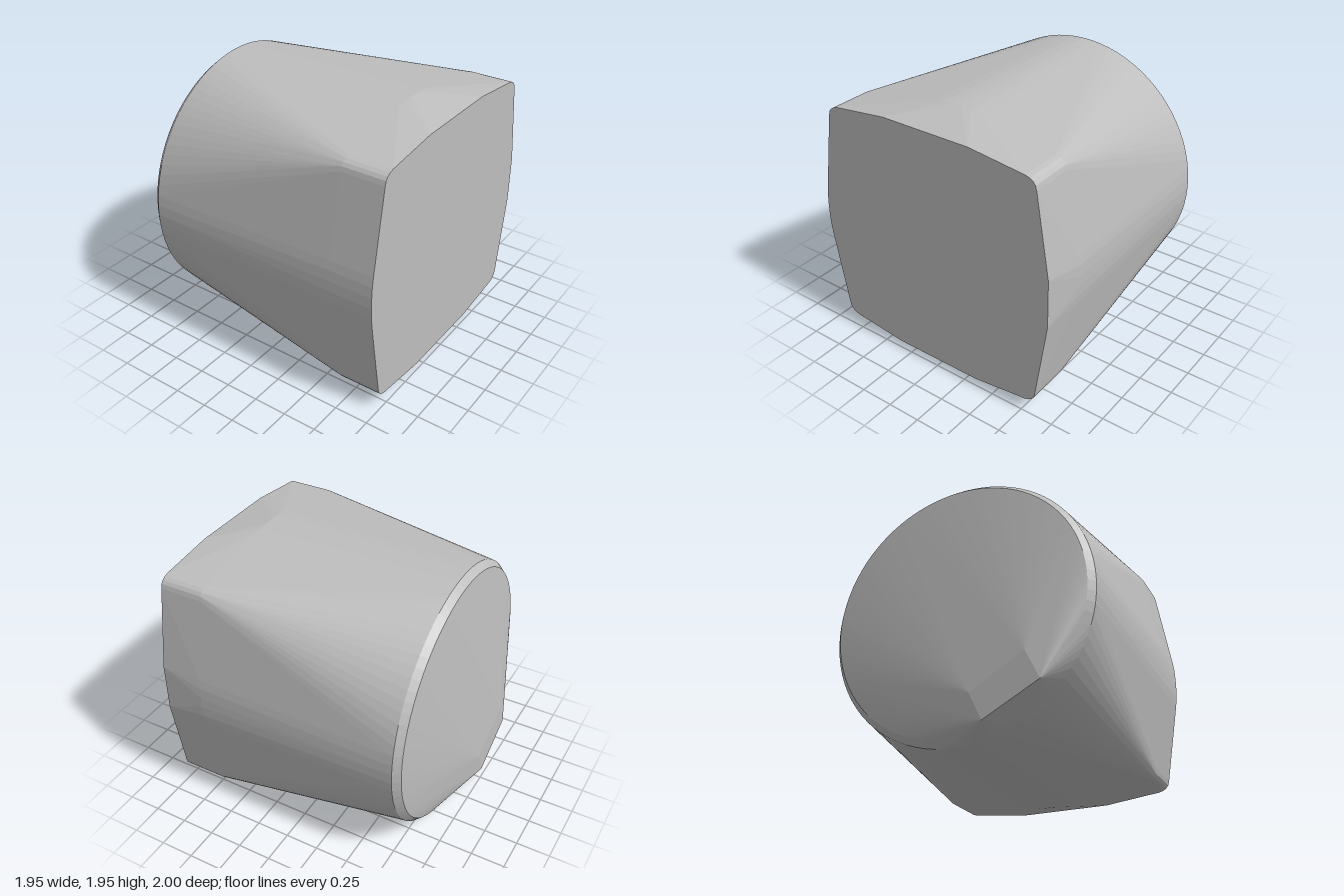
import * as THREE from 'three';
import { ConvexGeometry } from 'three/addons/geometries/ConvexGeometry.js';

const CY = 0.975; // height of the long axis

export function createModel() {
  const group = new THREE.Group();
  const grey = new THREE.MeshStandardMaterial({ color: 0xbebebe });
  grey.name = 'grey';

  const points = [];
  const add = (x, y, z) => points.push(new THREE.Vector3(x, CY + y, z));

  // Round back: full rim and a small chamfer
  const rim = (radius, z, n = 80) => {
    for (let i = 0; i < n; i++) {
      const a = (i / n) * Math.PI * 2;
      add(Math.cos(a) * radius, Math.sin(a) * radius, z);
    }
  };
  rim(0.972, -0.82);
  rim(0.93, -0.87);

  // Small raised block low on the back
  for (const [x, y] of [[-0.26, -0.89], [-0.165, -0.69], [-0.55, -0.475], [-0.65, -0.685]]) add(x, y, -1);

  // Bulged square front, mirrored in four quarters
  const corner = [[0.78, 0.865], [0.81, 0.856], [0.835, 0.84], [0.852, 0.818], [0.861, 0.785]];
  const crown = [[0.04, 0.975], [0.12, 0.97], [0.2, 0.96]];
  const side = [[0.962, 0.19], [0.971, 0.12], [0.975, 0.04]];
  for (const sx of [-1, 1]) {
    for (const sy of [-1, 1]) {
      for (const [x, y] of [...corner, ...crown, ...side]) add(sx * x, sy * y, 0.68);
      for (const [x, y] of corner) add(sx * x, sy * y, 1);
      // The front edge is cut back at the top, the bottom and the left side
      add(sx * 0.35, sy * 0.915, 1);
      if (sx > 0) add(0.955, sy * 0.18, 1);
      else for (const [x, y] of side) add(-x, sy * y, 1);
    }
  }

  const body = new THREE.Mesh(new ConvexGeometry(points), grey);
  body.name = 'body';
  group.add(body);
  return group;
}
